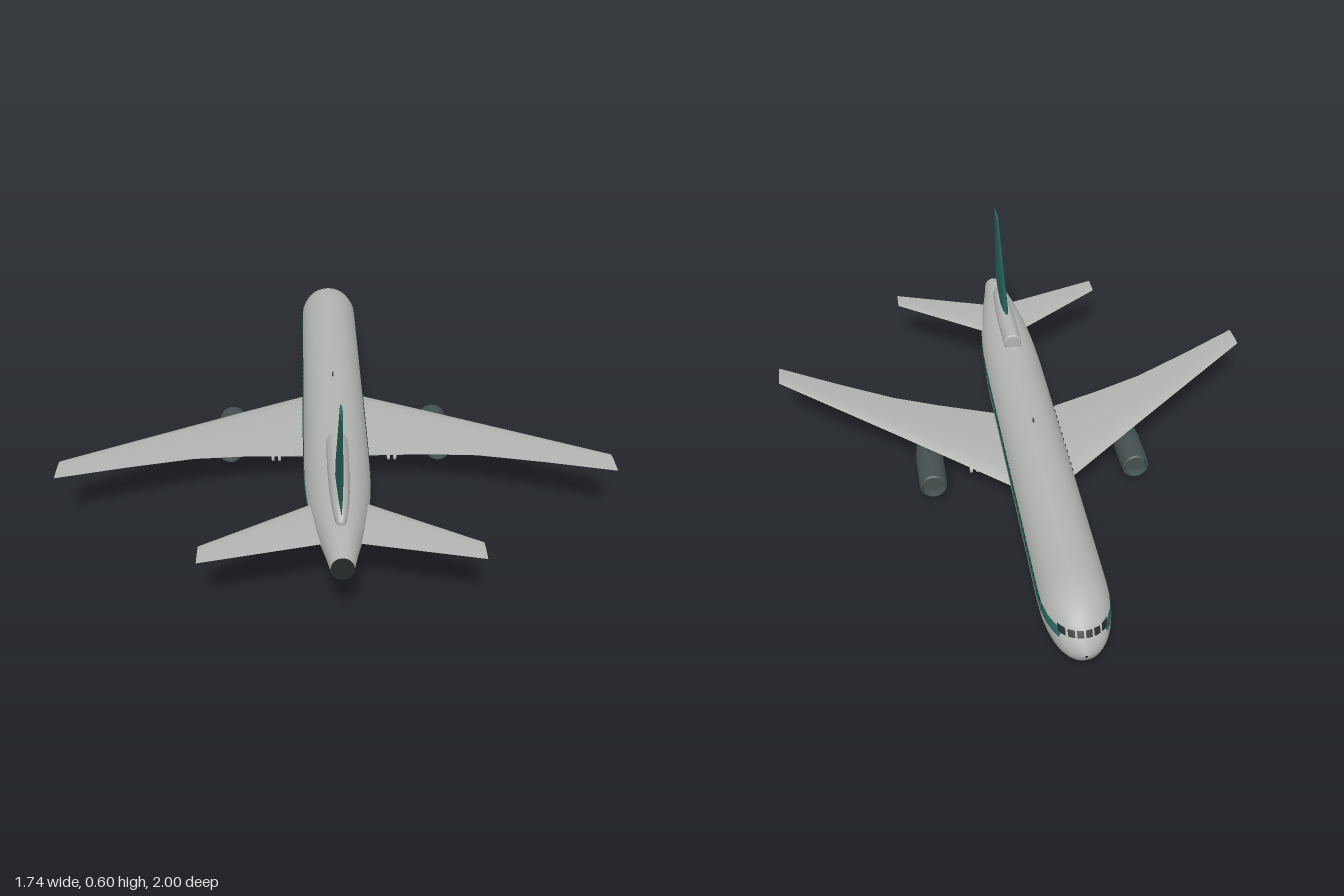
import * as THREE from 'three';
import { toCreasedNormals, mergeGeometries } from 'three/addons/utils/BufferGeometryUtils.js';

const mat = (name, color) => Object.assign(new THREE.MeshStandardMaterial({ color }), { name });

// Fuselage sections: z, half width, bottom y, top y
const SECTIONS = [
  [-1, 0.004, 0.116, 0.124], [-0.993, 0.025, 0.099, 0.143], [-0.98, 0.045, 0.084, 0.162],
  [-0.965, 0.06, 0.074, 0.182], [-0.945, 0.074, 0.064, 0.205], [-0.92, 0.085, 0.056, 0.223],
  [-0.88, 0.097, 0.049, 0.245], [-0.83, 0.105, 0.046, 0.257], [-0.77, 0.107, 0.045, 0.26],
  [0.3, 0.107, 0.046, 0.26], [0.42, 0.106, 0.052, 0.26], [0.52, 0.103, 0.062, 0.26],
  [0.62, 0.096, 0.078, 0.26], [0.72, 0.084, 0.098, 0.259], [0.82, 0.067, 0.122, 0.254],
  [0.92, 0.047, 0.147, 0.245], [1, 0.033, 0.165, 0.236],
];
const STRIPE = [0.155, 0.18];

function sectionAt(z) {
  let i = 1;
  while (i < SECTIONS.length - 1 && SECTIONS[i][0] < z) i++;
  const [p, q] = [SECTIONS[i - 1], SECTIONS[i]];
  const t = (z - p[0]) / (q[0] - p[0]);
  return p.map((v, k) => v + (q[k] - v) * t);
}

// Skin over rings of [x, y, z] points; groupOf(section, column) picks the material
function loft(rings, { flip = false, caps = true, groupOf = null } = {}) {
  const n = rings[0].length, lists = [[], []];
  const tri = (g, a, b, c) => lists[g].push(a, flip ? c : b, flip ? b : c);
  for (let i = 0; i < rings.length - 1; i++) {
    for (let j = 0; j < n; j++) {
      const k = (j + 1) % n, a = i * n, b = a + n, g = groupOf ? groupOf(i, j) : 0;
      tri(g, a + j, a + k, b + j);
      tri(g, a + k, b + k, b + j);
    }
  }
  if (caps) {
    const e = (rings.length - 1) * n;
    for (let j = 1; j < n - 1; j++) {
      tri(0, 0, j + 1, j);
      tri(0, e, e + j, e + j + 1);
    }
  }
  const geo = new THREE.BufferGeometry();
  geo.setAttribute('position', new THREE.Float32BufferAttribute(rings.flat(2), 3));
  geo.setIndex([...lists[0], ...lists[1]]);
  if (groupOf) {
    geo.addGroup(0, lists[0].length, 0);
    geo.addGroup(lists[0].length, lists[1].length, 1);
  }
  geo.computeVertexNormals();
  return groupOf ? geo : toCreasedNormals(geo, 0.7);
}

// Airfoil outline as [chord fraction, half-thickness fraction]
const FOIL = [[0, 0], [0.04, 0.5], [0.15, 0.85], [0.35, 1], [0.7, 0.6], [1, 0.06],
  [1, -0.06], [0.7, -0.6], [0.35, -1], [0.15, -0.85], [0.04, -0.5]];

// Wing stations: x, y, leading z, trailing z, half thickness
const wing = (stations, s) => loft(stations.map(([x, y, z0, z1, t]) =>
  FOIL.map(([c, h]) => [s * x, y + h * t, z0 + (z1 - z0) * c])), { flip: s < 0 });

export function createModel() {
  const model = new THREE.Group();
  const grey = mat('light grey', 0xb2b4b2), green = mat('dark green', 0x28685e);
  const dark = mat('engine grey', 0x465050), black = mat('near black', 0x262a2a);
  const pale = mat('wheel grey', 0xc4c6c4);
  const add = (name, geo, material, x = 0, y = 0, z = 0, parent = model) => {
    const m = new THREE.Mesh(geo, material);
    m.name = name;
    m.position.set(x, y, z);
    parent.add(m);
    return m;
  };

  // Fuselage, with ring points placed on the stripe's edges
  const LOW = 9, MID = 2, HIGH = 9, HALF = LOW + MID + HIGH;
  const rings = SECTIONS.map(([z, a, y0, y1]) => {
    const cy = (y0 + y1) / 2, b = (y1 - y0) / 2;
    const [s0, s1] = STRIPE.map((y) => Math.asin(THREE.MathUtils.clamp((y - cy) / b, -1, 1)));
    const q = Math.PI / 2, angles = [];
    for (let i = 0; i < LOW; i++) angles.push(-q + (s0 + q) * i / LOW);
    for (let i = 0; i < MID; i++) angles.push(s0 + (s1 - s0) * i / MID);
    for (let i = 0; i <= HIGH; i++) angles.push(s1 + (q - s1) * i / HIGH);
    const right = angles.map((t) => [a * Math.cos(t), cy + b * Math.sin(t), z]);
    const left = right.slice(1, -1).reverse().map(([x, y]) => [-x, y, z]);
    return [...right, ...left];
  });
  add('fuselage', loft(rings, {
    caps: false,
    groupOf: (i, j) => {
      const row = j < HALF ? j : 2 * HALF - 1 - j;
      return i >= 4 && row >= LOW && row < LOW + MID ? 1 : 0;
    },
  }), [grey, green]);
  const exhaust = add('tailExhaust', new THREE.CircleGeometry(1, 32), black, 0, 0.2005, 1);
  exhaust.scale.set(0.033, 0.0355, 1);

  // Cockpit windows: small panes lying just off the nose
  const noseZ = (x, y) => {
    let lo = -1, hi = -0.75;
    for (let i = 0; i < 24; i++) {
      const m = (lo + hi) / 2, [, a, y0, y1] = sectionAt(m);
      const inside = (x / a) ** 2 + ((y - (y0 + y1) / 2) / ((y1 - y0) / 2)) ** 2 < 1;
      if (inside) hi = m; else lo = m;
    }
    return lo - 0.003;
  };
  const panes = [];
  for (let i = -3; i < 3; i++) {
    const x0 = (i + 0.12) * 0.025, x1 = (i + 0.88) * 0.025;
    const g = new THREE.PlaneGeometry(1, 1, 3, 3), p = g.attributes.position;
    for (let k = 0; k < p.count; k++) {
      const x = x1 + (x0 - x1) * (p.getX(k) + 0.5), y = 0.179 + p.getY(k) * 0.017;
      p.setXYZ(k, x, y, noseZ(x, y));
    }
    g.computeVertexNormals();
    panes.push(g);
  }
  add('cockpitWindows', mergeGeometries(panes), black);

  // Cabin windows along the top of the stripe
  const cabin = [];
  for (let z = -0.84; z < 0.5; z += 0.034) {
    const [, a, y0, y1] = sectionAt(z);
    const x = a * Math.sqrt(1 - ((0.177 - (y0 + y1) / 2) / ((y1 - y0) / 2)) ** 2);
    for (const s of [-1, 1]) cabin.push(new THREE.BoxGeometry(0.004, 0.006, 0.009).translate(s * x, 0.177, z));
  }
  add('cabinWindows', mergeGeometries(cabin), black);
  add('antenna', new THREE.BoxGeometry(0.005, 0.016, 0.014), dark, 0, 0.263, -0.05);

  // Tail engine housing: z, half width, bottom y, top y
  const pod = [[0.43, 0.028, 0.246, 0.303], [0.436, 0.033, 0.242, 0.309], [0.58, 0.034, 0.24, 0.309],
    [0.7, 0.031, 0.238, 0.307], [0.79, 0.025, 0.236, 0.301], [0.84, 0.018, 0.234, 0.285], [0.865, 0.009, 0.234, 0.262]];
  add('tailEngineHousing', loft(pod.map(([z, a, y0, y1]) => Array.from({ length: 24 }, (_, i) => {
    const t = i / 24 * Math.PI * 2;
    return [a * Math.cos(t), (y0 + y1) / 2 + (y1 - y0) / 2 * Math.sin(t), z];
  }))), grey);

  // Tail fin stations: y, leading z, trailing z, half thickness
  add('tailFin', loft([[0.303, 0.575, 0.89, 0.012], [0.6, 0.8, 0.912, 0.004]].map(([y, z0, z1, t]) =>
    FOIL.map(([c, h]) => [-h * t, y, z0 + (z1 - z0) * c]))), green);

  // Engine nacelle profile: radius, z
  const nacelle = [[0, -0.085], [0.036, -0.085], [0.041, -0.11], [0.046, -0.105], [0.048, -0.07],
    [0.048, 0.05], [0.044, 0.105], [0.038, 0.138], [0.034, 0.138], [0.03, 0.11], [0.016, 0.11], [0.01, 0.138], [0, 0.14]];
  const nacelleGeo = toCreasedNormals(new THREE.LatheGeometry(
    nacelle.map(([r, z]) => new THREE.Vector2(r, z)), 28).rotateX(Math.PI / 2), 0.6);

  // Undercarriage leg with paired wheels on each axle
  const gear = (name, x, z, height, axles) => {
    const g = new THREE.Group();
    g.name = name;
    g.position.set(x, 0, z);
    model.add(g);
    add('strut', new THREE.CylinderGeometry(0.006, 0.006, height, 10), pale, 0, 0.02 + height / 2, 0, g);
    if (axles.length > 1) add('bogieBeam', new THREE.BoxGeometry(0.008, 0.008, 0.05), pale, 0, 0.02, 0, g);
    for (const az of axles) {
      for (const s of [-1, 1]) {
        const wheel = new THREE.CylinderGeometry(0.019, 0.019, 0.009, 18).rotateZ(Math.PI / 2);
        add('wheel', wheel, pale, s * 0.011, 0.019, az, g);
      }
    }
  };

  for (const s of [-1, 1]) {
    const side = s > 0 ? 'left' : 'right';
    add(side + 'Wing', wing([[0.04, 0.1, -0.235, 0.22, 0.022], [0.107, 0.105, -0.185, 0.235, 0.021],
      [0.3, 0.131, -0.035, 0.277, 0.014], [0.46, 0.151, 0.09, 0.322, 0.01],
      [0.66, 0.175, 0.246, 0.41, 0.007], [0.87, 0.2, 0.41, 0.51, 0.004]], s), grey);
    add(side + 'Tailplane', wing([[0.02, 0.19, 0.62, 0.858, 0.008], [0.4, 0.205, 0.89, 0.97, 0.003]], s), grey);
    add(side + 'Engine', nacelleGeo, dark, s * 0.355, 0.065, 0);
    add(side + 'EnginePylon', new THREE.BoxGeometry(0.012, 0.035, 0.1), dark, s * 0.355, 0.119, 0.075);
    gear(side + 'MainGear', s * 0.2, 0.06, 0.09, [-0.024, 0.024]);
  }
  gear('noseGear', 0, -0.765, 0.04, [0]);
  return model;
}
